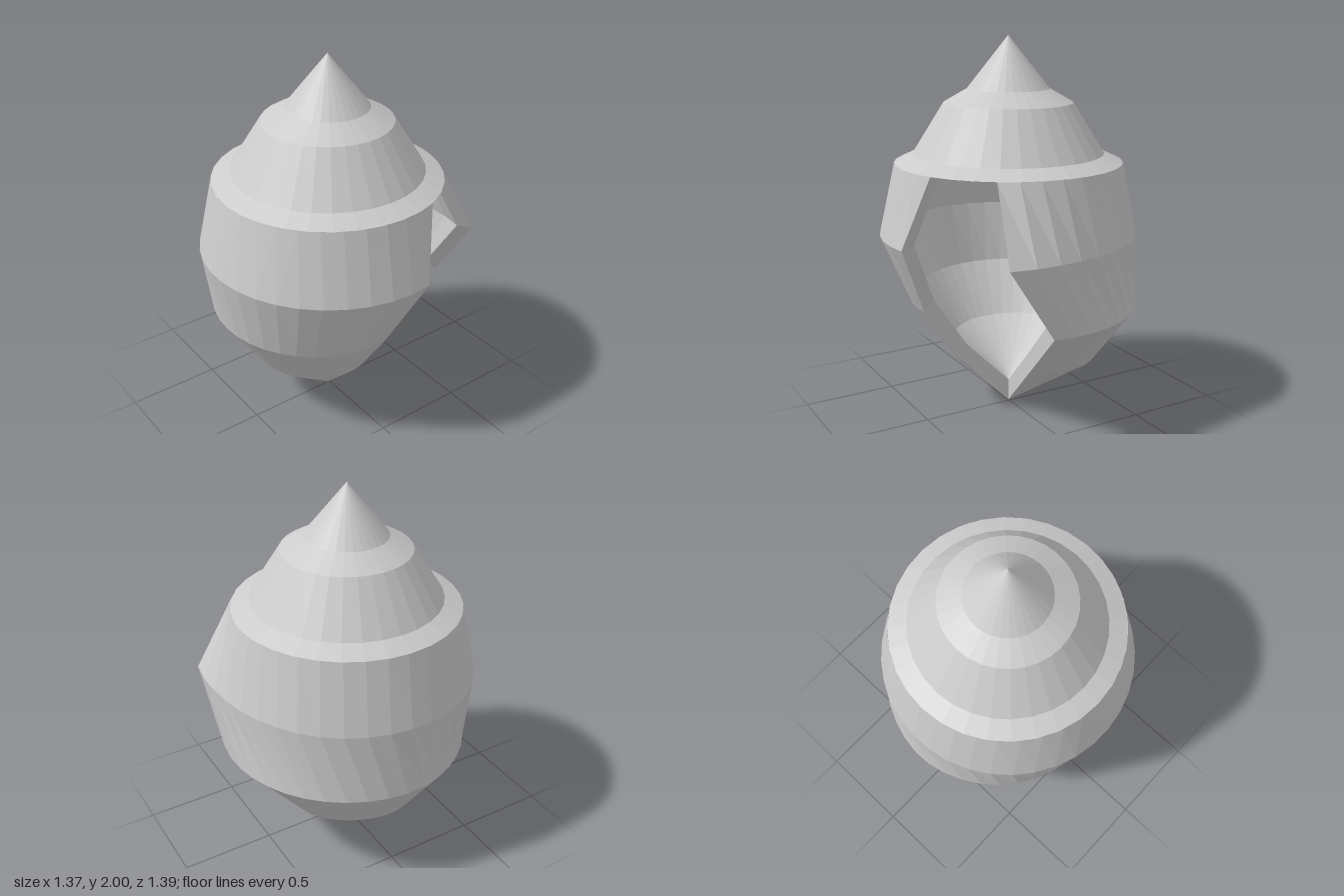
import * as THREE from 'three';

const SEG = 32, ZC = 0.01;
const material = new THREE.MeshStandardMaterial({ color: 0xcccccc, flatShading: true, side: THREE.DoubleSide });

// Each whorl ring: height, inner height, start and end angle (from +x towards +z), [angle, radius] stops
const RINGS = [
  { y: 1.355, yi: 1.34, from: -22, to: 304.5, r: [[0, 0.597]] },
  { y: 0.98, yi: 1.0, from: -10.5, to: 299, r: [[0, 0.682], [180, 0.675], [247, 0.675], [270, 0.7], [281, 0.725], [299, 0.79]] },
  { y: 0.6, yi: 0.66, from: 0, to: 281, r: [[0, 0.5], [90, 0.6], [180, 0.69], [281, 0.69]] },
  { y: 0.295, yi: 0.38, from: 0, to: 281, r: [[0, 0.29], [90, 0.39], [180, 0.48], [235, 0.465], [281, 0.34]] },
  { y: 0, yi: 0.12, from: 0, to: 281, r: [[0, 0]] },
];

function radiusAt(stops, a) {
  if (a <= stops[0][0]) return stops[0][1];
  for (let i = 1; i < stops.length; i++) {
    const [a0, r0] = stops[i - 1], [a1, r1] = stops[i];
    if (a <= a1) return r0 + (r1 - r0) * (a - a0) / (a1 - a0);
  }
  return stops[stops.length - 1][1];
}

// Points of one ring, outer (scale 1) or inner
function ringPoints(ring, inner) {
  const points = [];
  for (let i = 0; i <= SEG; i++) {
    const a = ring.from + (ring.to - ring.from) * i / SEG;
    const r = radiusAt(ring.r, a) * (inner ? 0.89 : 1);
    const t = THREE.MathUtils.degToRad(a);
    points.push([r * Math.cos(t), inner ? ring.yi : ring.y, r * Math.sin(t) + ZC]);
  }
  return points;
}

// Skin over rows of points
function skin(rows) {
  const n = rows[0].length, index = [];
  for (let j = 0; j < rows.length - 1; j++) {
    for (let i = 0; i < n - 1; i++) {
      const a = j * n + i, c = a + n;
      index.push(a, a + 1, c, a + 1, c + 1, c);
    }
  }
  const g = new THREE.BufferGeometry();
  g.setAttribute('position', new THREE.Float32BufferAttribute(rows.flat(2), 3));
  g.setIndex(index);
  g.computeVertexNormals();
  return g;
}

// Turned surface from a bottom-to-top profile
function turned(profile) {
  return new THREE.LatheGeometry(profile.map(([x, y]) => new THREE.Vector2(x, y)), SEG).translate(0, 0, ZC);
}

export function createModel() {
  const group = new THREE.Group();
  const add = (name, geometry) => {
    const mesh = new THREE.Mesh(geometry, material);
    mesh.name = name;
    group.add(mesh);
  };

  // Stepped spire
  add('spire', turned([[0.597, 1.355], [0.5, 1.4], [0.337, 1.66], [0.215, 1.73], [0, 2]]));

  // Body whorl, outside and inside
  const outer = RINGS.map((ring) => ringPoints(ring, false));
  const inner = RINGS.map((ring) => ringPoints(ring, true));
  add('bodyWhorl', skin(outer));
  add('innerWall', skin(inner.map((row) => [...row].reverse())));

  // Lips joining the two walls on either side of the opening
  add('innerLip', skin([inner.map((row) => row[0]), outer.map((row) => row[0])]));
  add('outerLip', skin([outer.map((row) => row[SEG]), inner.map((row) => row[SEG])]));

  // Rim over the opening and hollow cone above it
  add('ceiling', turned([[0, 1.64], [0.531, 1.34], [0.597, 1.355]]));
  return group;
}
